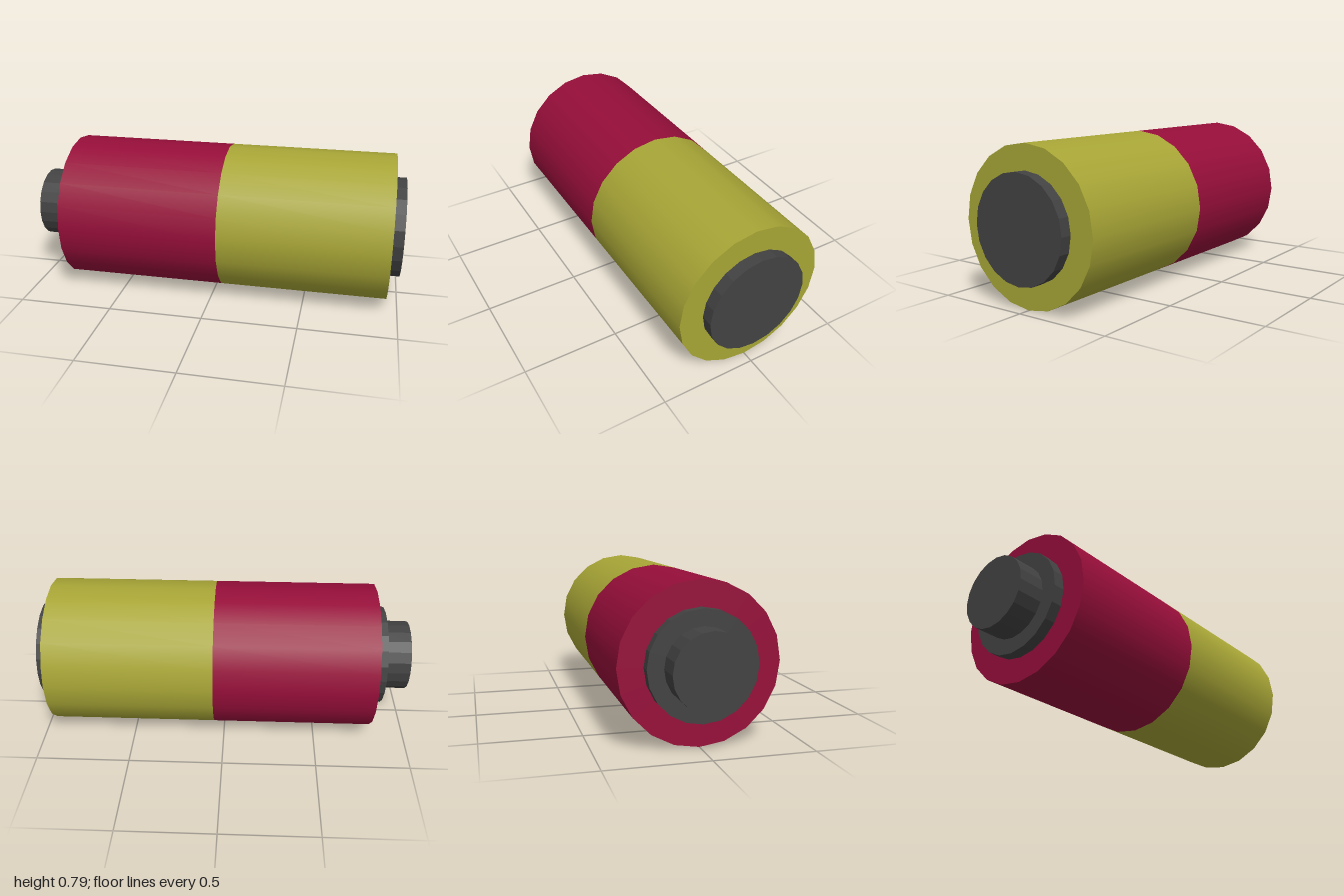
import * as THREE from 'three';

const SIDES = 20;
const AXIS_Y = 0.393;

// A cylinder lying along x, from x0 to x1
function drum(name, x0, x1, radius, color, flatShading = false) {
  const geometry = new THREE.CylinderGeometry(radius, radius, x1 - x0, SIDES);
  geometry.rotateZ(-Math.PI / 2);
  const material = new THREE.MeshStandardMaterial({ color, flatShading });
  const mesh = new THREE.Mesh(geometry, material);
  mesh.name = name;
  mesh.position.set((x0 + x1) / 2, AXIS_Y, 0);
  return mesh;
}

export function createModel() {
  const group = new THREE.Group();
  group.name = 'battery';
  const red = 0x960e3a, yellow = 0xa8a636, dark = 0x424242;

  group.add(
    // Two-tone casing
    drum('redCasing', -0.805, 0.053, 0.393, red),
    drum('yellowCasing', 0.053, 0.94, 0.393, yellow),
    // Raised contact plates at both ends and the terminal stub
    drum('terminalCollar', -0.863, -0.805, 0.267, dark, true),
    drum('terminalStub', -1, -0.863, 0.187, dark, true),
    drum('endContact', 0.94, 1, 0.267, dark, true),
  );
  return group;
}
